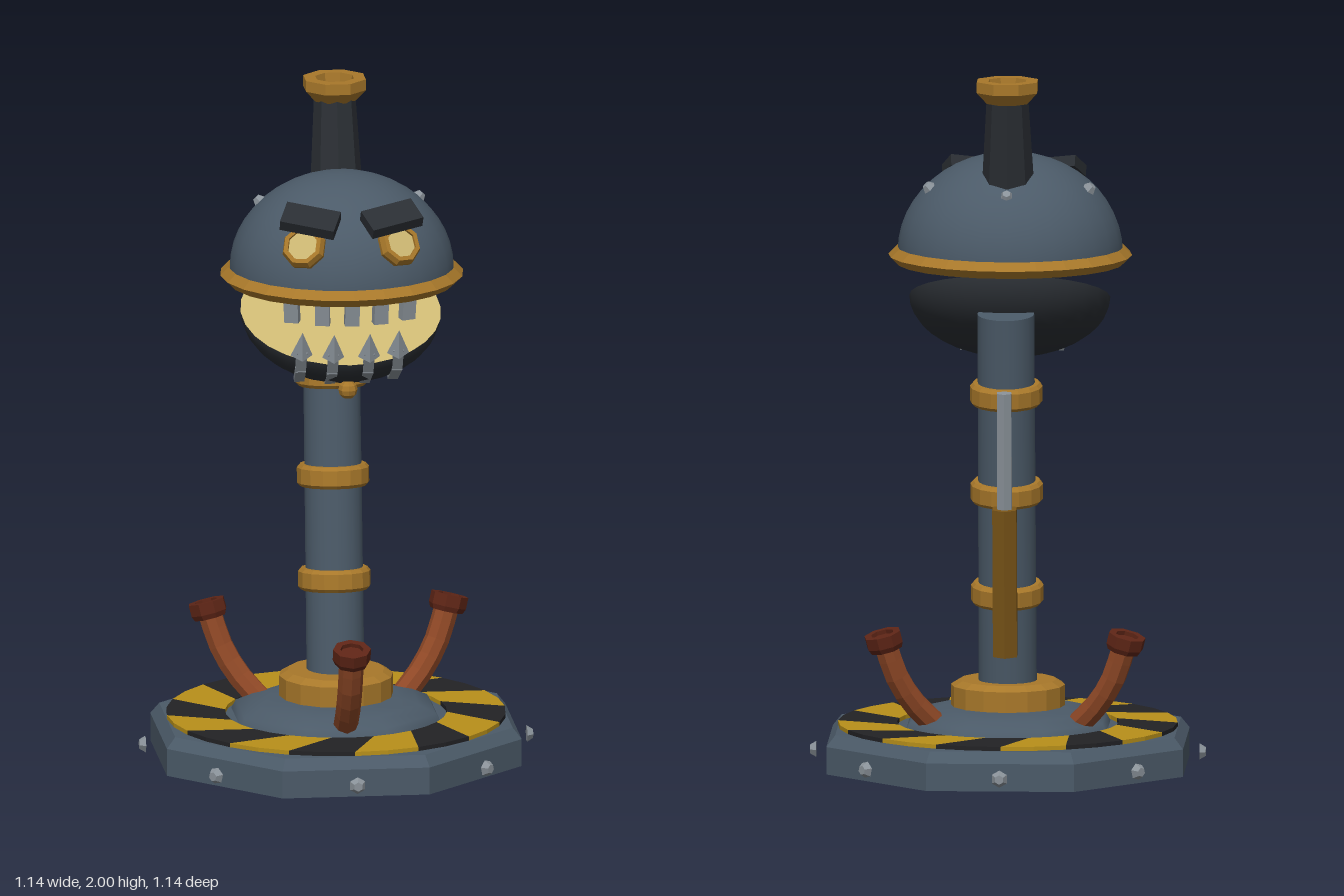
import * as THREE from 'three';

const mat = (color, flatShading = false, side = THREE.FrontSide) =>
  new THREE.MeshStandardMaterial({ color, flatShading, side });
const V = (x, y, z) => new THREE.Vector3(x, y, z);
const UP = V(0, 1, 0);

const slate = mat(0x4b5a68);
const slateFlat = mat(0x4b5a68, true);
const dark = mat(0x2a2e33);
const darkFlat = mat(0x2a2e33, true);
const gold = mat(0xa8782a);
const goldFlat = mat(0xa8782a, true, THREE.DoubleSide);
const bronze = mat(0x7a5518, true);
const cream = mat(0xcdb873, true);
const steel = mat(0x8a9299, true);
const copper = mat(0x8f4826, true);
const darkCopper = mat(0x5e2516, true);
const yellow = mat(0xb8901a, true);
const black = mat(0x222225, true);

export function createModel() {
  const root = new THREE.Group();

  const add = (name, geo, material, pos = V(0, 0, 0), parent = root) => {
    const m = new THREE.Mesh(geo, material);
    m.name = name;
    m.position.copy(pos);
    parent.add(m);
    return m;
  };
  const lathe = (pts, sides, phase = 0) =>
    new THREE.LatheGeometry(pts.map(p => new THREE.Vector2(...p)), sides, phase);
  // Aim a part's own y axis along a direction
  const aim = (m, dir) => {
    m.quaternion.setFromUnitVectors(UP, dir.clone().normalize());
    return m;
  };
  // Cylinder between two points
  const rod = (name, a, b, r0, r1, sides, material) => {
    const d = b.clone().sub(a);
    return aim(add(name, new THREE.CylinderGeometry(r1, r0, d.length(), sides), material,
      a.clone().lerp(b, 0.5)), d);
  };
  const bolt = (name, pos, dir, r = 0.025) =>
    aim(add(name, new THREE.CylinderGeometry(r * 0.55, r, 0.018, 6), steel, pos), dir);

  // Octagonal base with chamfered edge
  add('base', lathe([[0, 0], [0.557, 0], [0.557, 0.08], [0.53, 0.112], [0, 0.116]], 8, Math.PI / 8), slateFlat);
  add('baseDome', lathe([[0.315, 0.112], [0.3, 0.138], [0.25, 0.16], [0.19, 0.175], [0, 0.18]], 8, Math.PI / 8), slate);
  for (let i = 0; i < 8; i++) {
    const a = i * Math.PI / 4, d = V(Math.sin(a), 0, Math.cos(a));
    bolt('baseBolt', d.clone().multiplyScalar(0.562).setY(0.042), d);
  }

  // Ring of slanted warning stripes
  const step = Math.PI / 8, twist = -0.235;
  for (let i = 0; i < 16; i++) {
    const shape = new THREE.Shape();
    const pts = [];
    for (let k = 0; k <= 2; k++) pts.push([0.49, (i + k / 2) * step]);
    for (let k = 2; k >= 0; k--) pts.push([0.32, (i + k / 2) * step + twist]);
    shape.setFromPoints(pts.map(([r, a]) => new THREE.Vector2(r * Math.sin(a), r * Math.cos(a))));
    const geo = new THREE.ExtrudeGeometry(shape, { depth: 0.012, bevelEnabled: false });
    geo.rotateX(-Math.PI / 2);
    add('warningStripe', geo, i % 2 ? yellow : black, V(0, 0.114, 0));
  }

  // Three bent copper pipes with capped ends
  for (let i = 0; i < 3; i++) {
    const pipe = new THREE.Group();
    pipe.name = 'pipe';
    pipe.rotation.y = i * Math.PI * 2 / 3;
    root.add(pipe);
    const path = new THREE.CatmullRomCurve3(
      [V(0, 0.12, 0.22), V(0, 0.2, 0.305), V(0, 0.28, 0.36), V(0, 0.385, 0.4)]);
    add('pipeTube', new THREE.TubeGeometry(path, 6, 0.036, 8), copper, V(0, 0, 0), pipe);
    const cap = lathe([[0, -0.025], [0.048, -0.025], [0.055, -0.01], [0.055, 0.024],
      [0.034, 0.024], [0.034, 0.012], [0, 0.012]], 8);
    aim(add('pipeCap', cap, darkCopper, V(0, 0.388, 0.402), pipe), V(0, 1, 0.28));
  }

  // Leaning neck with collar and bands
  add('neckCollar', lathe([[0.165, 0.165], [0.165, 0.235], [0.165, 0.235], [0.14, 0.25], [0, 0.25]], 16),
    mat(0xa8782a, true));
  const low = V(0, 0.16, -0.005), high = V(0, 1.335, -0.135);
  const lean = high.clone().sub(low);
  rod('neck', low, high, 0.084, 0.082, 20, slate);
  for (const y of [0.51, 0.81, 1.1]) {
    const p = low.clone().lerp(high, (y - low.y) / lean.y);
    const band = lathe([[0.08, -0.032], [0.096, -0.032], [0.105, -0.022], [0.105, 0.022],
      [0.096, 0.032], [0.08, 0.032]], 16);
    aim(add('neckBand', band, mat(0xa8782a, true), p), lean);
  }

  // Piston behind the neck
  rod('pistonBarrel', V(0, 0.345, -0.175), V(0, 0.78, -0.222), 0.04, 0.04, 6, bronze);
  rod('pistonRod', V(0, 0.76, -0.22), V(0, 1.12, -0.243), 0.024, 0.024, 6, steel);

  // Upper head: dome, rim and underside
  const C = V(0, 1.475, 0.145);
  const dome = add('headDome', new THREE.SphereGeometry(1, 28, 12, 0, Math.PI * 2, 0, Math.PI / 2), slate, C);
  dome.scale.set(0.325, 0.288, 0.315);
  const rim = add('headRim', new THREE.TorusGeometry(0.328, 0.024, 4, 24).rotateX(Math.PI / 2),
    mat(0xa8782a, true), V(0, 1.466, 0.145));
  rim.scale.set(1, 1, 0.965);
  const palate = add('headUnderside', new THREE.CircleGeometry(0.325, 24).rotateX(Math.PI / 2), gold, V(0, 1.462, 0.145));
  palate.scale.z = 0.965;
  for (const x of [-0.235, 0.235]) bolt('headBolt', V(x, 1.672, 0.077), V(x, 0.24, -0.06), 0.022);
  bolt('headBolt', V(0, 1.672, -0.085), V(0, 0.24, -0.24), 0.022);

  // Eyes and slanted brows, mirrored
  for (const s of [-1, 1]) {
    const eye = new THREE.Group();
    eye.name = 'eye';
    eye.position.set(s * 0.137, 1.607, 0.395);
    aim(eye, V(s * 0.36, 0.5, 0.78));
    root.add(eye);
    add('eyeRing', lathe([[0.06, -0.05], [0.066, 0.005], [0.058, 0.022], [0.045, 0.022], [0.045, 0.008]], 8),
      goldFlat, V(0, 0, 0), eye);
    add('eyeLens', new THREE.CylinderGeometry(0.046, 0.046, 0.02, 8), cream, V(0, 0.004, 0), eye);
    const brow = add('brow', new THREE.BoxGeometry(0.16, 0.034, 0.085), darkFlat, V(s * 0.118, 1.682, 0.383));
    brow.rotation.set(0.5, s * 0.4, s * 0.16, 'YXZ');
  }

  // Chimney with flared hollow top
  rod('chimney', V(0, 1.66, 0.012), V(0, 1.95, -0.035), 0.077, 0.06, 8, darkFlat);
  add('chimneyTop', lathe([[0.063, 1.935], [0.094, 1.968], [0.094, 2], [0.058, 2], [0.05, 1.95]], 8, Math.PI / 8),
    goldFlat, V(0, 0, -0.037));
  add('chimneyPlug', new THREE.CylinderGeometry(0.053, 0.053, 0.01, 8).rotateY(Math.PI / 8), cream, V(0, 1.955, -0.037));

  // Lower jaw, hanging open
  const jaw = new THREE.Group();
  jaw.name = 'jaw';
  jaw.position.set(0, 1.348, 0.118);
  jaw.rotation.x = 0.37;
  jaw.scale.set(0.29, 0.17, 0.278);
  root.add(jaw);
  add('jawShell', new THREE.SphereGeometry(1, 28, 10, 0, Math.PI * 2, Math.PI / 2, Math.PI / 2), dark, V(0, 0, 0), jaw);
  add('jawFloor', new THREE.CircleGeometry(1, 28).rotateX(-Math.PI / 2), cream, V(0, 0, 0), jaw);

  // Square upper teeth along the rim
  for (let i = -2; i <= 2; i++) {
    const x = i * 0.084, z = 0.14 + Math.sqrt(0.27 ** 2 - x * x);
    const tooth = add('upperTooth', new THREE.BoxGeometry(0.042, 0.085, 0.026), steel, V(x, 1.417, z));
    tooth.rotation.set(0.12, x * 2.2, 0, 'YXZ');
  }

  // Pointed lower teeth on bent straps
  for (const x of [-0.14, -0.052, 0.052, 0.14]) {
    const back = -x * x * 2;
    const path = [V(x, 1.285, 0.4 + back), V(x, 1.225, 0.365 + back), V(x * 0.97, 1.18, 0.29 + back)];
    for (let k = 0; k < 2; k++) {
      const d = path[k].clone().sub(path[k + 1]);
      aim(add('toothStrap', new THREE.BoxGeometry(0.03, d.length() + 0.01, 0.016), steel,
        path[k].clone().lerp(path[k + 1], 0.5)), d);
    }
    aim(add('lowerTooth', new THREE.ConeGeometry(0.032, 0.08, 4), steel, V(x, 1.312, 0.405 + back)), V(0, 1, 0.4));
  }
  add('chinKnob', new THREE.SphereGeometry(0.028, 8, 6), mat(0xa8782a, true), V(0, 1.158, 0.305));

  return root;
}
